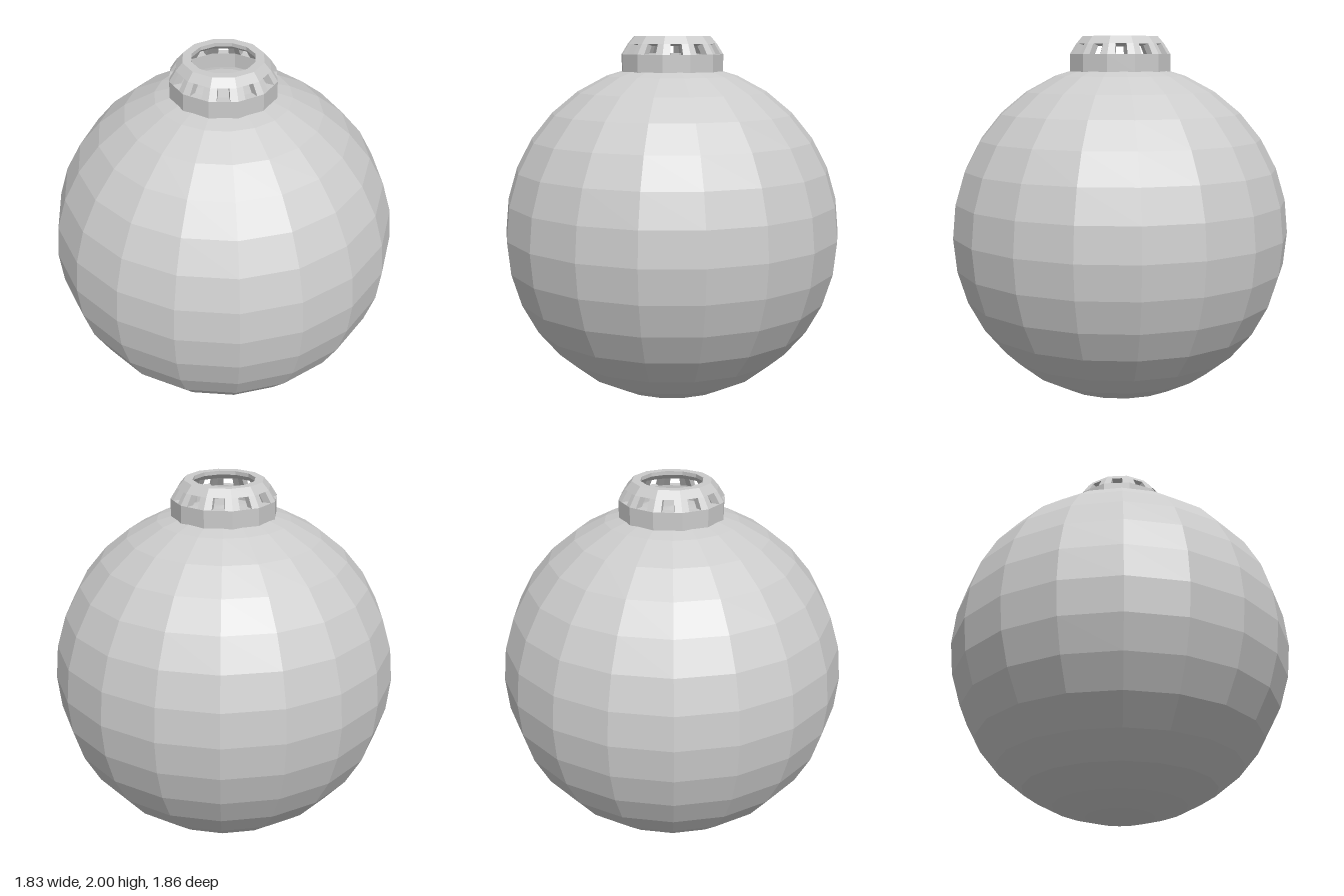
import * as THREE from 'three';

const SIDES = 12;

function makeMesh(geometry, name) {
  const material = new THREE.MeshStandardMaterial({ color: 0xcccccc, flatShading: true });
  const mesh = new THREE.Mesh(geometry, material);
  mesh.name = name;
  return mesh;
}

// Closed ring with a polygonal outline, from a profile of [radius, height]
// (up the outside, down the inside)
function ring(profile, name) {
  const points = [...profile, profile[0]].map(([r, y]) => new THREE.Vector2(r, y));
  return makeMesh(new THREE.LatheGeometry(points, SIDES).toNonIndexed(), name);
}

// Short post that wraps one corner of the polygon, with closed ends
function post(profile, halfAngle, name) {
  const half = Math.PI / SIDES;
  const n = profile.length;
  const positions = [];
  const index = [];
  for (const a of [-halfAngle, 0, halfAngle]) {
    const onFace = Math.cos(half) / Math.cos(half - Math.abs(a));
    for (const [r, y] of profile) {
      positions.push(r * onFace * Math.sin(a), y, r * onFace * Math.cos(a));
    }
  }
  for (let s = 0; s < 2; s++) {
    for (let i = 0; i < n; i++) {
      const a = s * n + i;
      const b = s * n + (i + 1) % n;
      index.push(a, a + n, b, a + n, b + n, b);
    }
  }
  const last = 2 * n;
  index.push(0, 1, 2, 0, 2, 3, last, last + 2, last + 1, last, last + 3, last + 2);
  const geometry = new THREE.BufferGeometry();
  geometry.setAttribute('position', new THREE.Float32BufferAttribute(positions, 3));
  geometry.setIndex(index);
  const flat = geometry.toNonIndexed();
  flat.computeVertexNormals();
  return makeMesh(flat, name);
}

export function createModel() {
  const model = new THREE.Group();
  model.name = 'ornament';

  // Faceted ball, standing on the ground
  const ball = makeMesh(new THREE.SphereGeometry(0.93, 18, 16), 'ball');
  ball.rotation.y = Math.PI / 2;
  ball.position.y = 0.93;
  model.add(ball);

  // Hollow cap: collar, ring of posts with windows between, open top rim
  const cap = new THREE.Group();
  cap.name = 'cap';
  cap.add(ring([[0.28, 1.812], [0.28, 1.905], [0.235, 1.905], [0.235, 1.812]], 'collar'));
  cap.add(ring([[0.245, 1.96], [0.21, 2], [0.165, 2], [0.165, 1.98], [0.205, 1.95]], 'topRim'));

  const posts = new THREE.Group();
  posts.name = 'windowPosts';
  const section = [[0.28, 1.905], [0.245, 1.96], [0.205, 1.95], [0.235, 1.905]];
  for (let i = 0; i < SIDES; i++) {
    const p = post(section, THREE.MathUtils.degToRad(8), 'windowPost');
    p.rotation.y = (i / SIDES) * Math.PI * 2;
    posts.add(p);
  }
  cap.add(posts);
  model.add(cap);

  return model;
}
